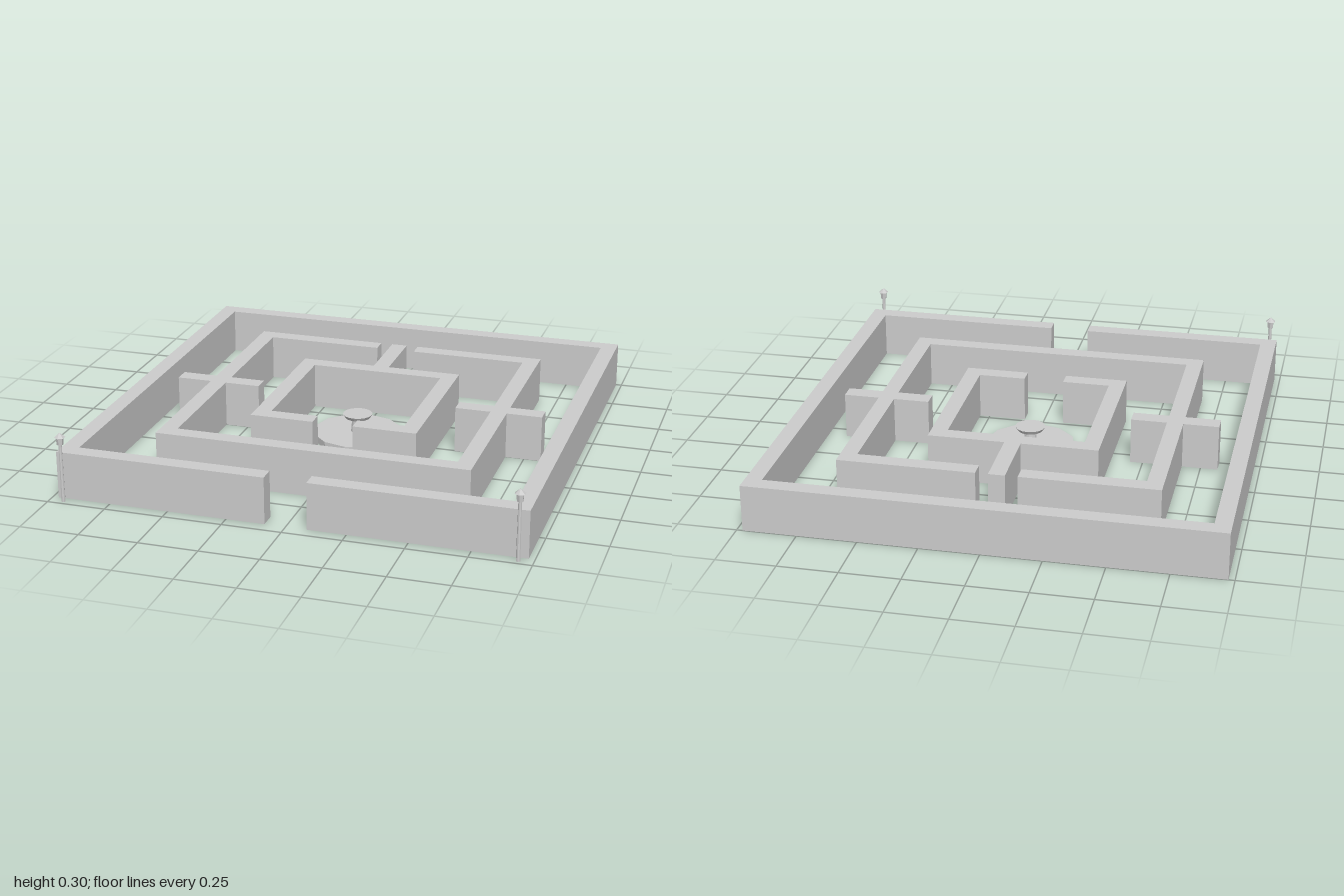
import * as THREE from 'three';

const WALL_H = 0.2, T = 0.07, GAP = 0.0875;

export function createModel() {
  const model = new THREE.Group();
  model.name = 'hedgeMaze';
  const stone = new THREE.MeshStandardMaterial({ color: 0xcccccc });
  stone.name = 'paleGrey';
  stone.flatShading = true;

  const add = (name, geometry, parent = model, x = 0, y = 0, z = 0) => {
    const mesh = new THREE.Mesh(geometry, stone);
    mesh.name = name;
    mesh.position.set(x, y, z);
    parent.add(mesh);
    return mesh;
  };

  // Square wall open in the middle of one side: half width, closed side z, open side z
  const ringWall = (name, w, closed, open) => {
    const s = Math.sign(open);
    const outline = [
      [-GAP, open], [-w, open], [-w, closed], [w, closed], [w, open], [GAP, open],
      [GAP, open - s * T], [w - T, open - s * T], [w - T, closed + s * T],
      [-w + T, closed + s * T], [-w + T, open - s * T], [-GAP, open - s * T],
    ];
    const shape = new THREE.Shape(outline.map(([x, z]) => new THREE.Vector2(x, -z)));
    const geometry = new THREE.ExtrudeGeometry(shape, { depth: WALL_H, bevelEnabled: false });
    add(name, geometry.rotateX(-Math.PI / 2));
  };

  // Straight wall between two corners
  const straightWall = (name, x0, x1, z0, z1) =>
    add(name, new THREE.BoxGeometry(x1 - x0, WALL_H, z1 - z0), model,
      (x0 + x1) / 2, WALL_H / 2, (z0 + z1) / 2);

  // Three nested walls
  ringWall('outerWall', 0.975, -1, 0.947);
  ringWall('middleWall', 0.67, -0.697, 0.64);
  model.children.pop();
  ringWall('middleWall', 0.67, 0.64, -0.697);
  ringWall('innerWall', 0.363, -0.394, 0.336);

  // Dividers between the walls
  straightWall('backDivider', -0.035, 0.035, -0.697, -0.394);
  for (const [side, s] of [['left', 1], ['right', -1]]) {
    for (const [place, a, b] of [['Inner', 0.446, 0.6], ['Outer', 0.67, 0.823]]) {
      straightWall(side + place + 'Divider',
        Math.min(s * a, s * b), Math.max(s * a, s * b), -0.066, 0.006);
    }
  }

  // Fountain in the centre
  const fountain = new THREE.Group();
  fountain.name = 'fountain';
  fountain.position.z = -0.028;
  model.add(fountain);
  add('fountainBase', new THREE.CylinderGeometry(0.195, 0.195, 0.03, 12), fountain, 0, 0.015);
  add('fountainColumn', new THREE.CylinderGeometry(0.024, 0.03, 0.065, 12), fountain, 0, 0.0625);
  add('fountainBowl', new THREE.CylinderGeometry(0.065, 0.055, 0.016, 16), fountain, 0, 0.102);

  // Lamp posts in front of the outer corners
  for (const [side, s] of [['left', 1], ['right', -1]]) {
    const lamp = new THREE.Group();
    lamp.name = side + 'LampPost';
    lamp.position.set(s * 0.94, 0, 0.977);
    model.add(lamp);
    add('lampPole', new THREE.CylinderGeometry(0.007, 0.009, 0.25, 8), lamp, 0, 0.125);
    add('lampLantern', new THREE.CylinderGeometry(0.016, 0.013, 0.034, 6), lamp, 0, 0.265);
    add('lampCap', new THREE.ConeGeometry(0.023, 0.02, 6), lamp, 0, 0.29);
  }
  return model;
}
